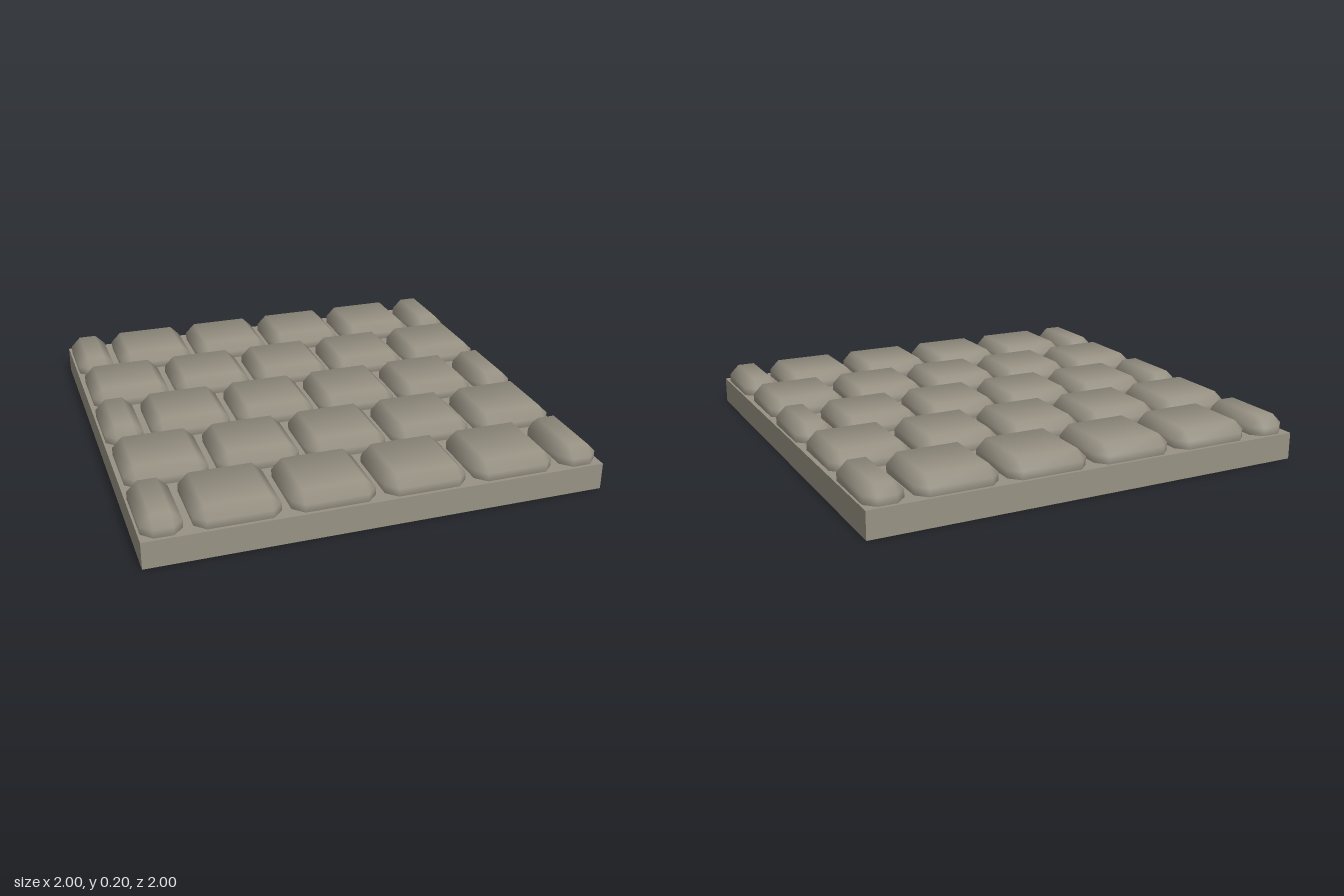
import * as THREE from 'three';

const BEVEL = 0.045;
const TILT = 0.43; // how far the soft shading leans over each edge

// Box with every edge and corner cut once, shaded softly.
// Each of the 8 corners has 3 vertices, one on each adjoining face.
function beveledBlock(w, h, d) {
  const half = [w / 2, h / 2, d / 2];
  const positions = [], normals = [], index = [];
  for (let corner = 0; corner < 8; corner++) {
    const sign = [0, 1, 2].map((i) => (corner & (1 << i) ? 1 : -1));
    for (let axis = 0; axis < 3; axis++) {
      positions.push(...sign.map((s, i) => s * (half[i] - (i === axis ? 0 : BEVEL))));
      normals.push(...new THREE.Vector3(
        ...sign.map((s, i) => s * (i === axis ? 1 : TILT))).normalize().toArray());
    }
  }
  const point = (i) => new THREE.Vector3().fromArray(positions, i * 3);
  // Adds a triangle, turned so that it faces away from the centre
  const tri = (a, b, c) => {
    const A = point(a), B = point(b), C = point(c);
    const n = B.clone().sub(A).cross(C.clone().sub(A));
    if (n.dot(A.add(B).add(C)) > 0) index.push(a, b, c);
    else index.push(a, c, b);
  };
  const quad = (a, b, c, e) => { tri(a, b, c); tri(a, c, e); };

  for (let axis = 0; axis < 3; axis++) {
    const u = (axis + 1) % 3, v = (axis + 2) % 3;
    const U = 1 << u, V = 1 << v, A = 1 << axis;
    // Flat faces
    for (const s of [0, A]) {
      quad(...[s, s | U, s | U | V, s | V].map((c) => c * 3 + axis));
    }
    // Edge bevels running along this axis
    for (const s of [0, U, V, U | V]) {
      quad(s * 3 + u, (s | A) * 3 + u, (s | A) * 3 + v, s * 3 + v);
    }
  }
  // Corner triangles
  for (let c = 0; c < 8; c++) tri(c * 3, c * 3 + 1, c * 3 + 2);

  const geometry = new THREE.BufferGeometry();
  geometry.setAttribute('position', new THREE.Float32BufferAttribute(positions, 3));
  geometry.setAttribute('normal', new THREE.Float32BufferAttribute(normals, 3));
  geometry.setIndex(index);
  return geometry;
}

export function createModel() {
  const model = new THREE.Group();
  model.name = 'cobbledFloorTile';
  const stone = new THREE.MeshStandardMaterial({ color: 0x989284 });
  stone.name = 'warm grey stone';

  // Slab under the stones
  const slab = new THREE.Mesh(new THREE.BoxGeometry(2, 0.12, 2), stone);
  slab.name = 'slab';
  slab.position.y = 0.06;
  model.add(slab);

  // Stones, sunk partly into the slab
  const fullStone = beveledBlock(0.36, 0.14, 0.37);
  const halfStone = beveledBlock(0.17, 0.14, 0.37);
  const addStone = (row, geometry, name, x) => {
    const mesh = new THREE.Mesh(geometry, stone);
    mesh.name = name;
    mesh.position.x = x;
    row.add(mesh);
  };

  // Five rows in running bond: alternate rows are shifted and closed by half stones
  for (let r = 0; r < 5; r++) {
    const row = new THREE.Group();
    row.name = `stoneRow${r + 1}`;
    row.position.set(0, 0.13, -0.8 + r * 0.4);
    const shifted = r % 2 === 0;
    const count = shifted ? 4 : 5;
    for (let i = 0; i < count; i++) {
      addStone(row, fullStone, 'fullStone', (i - (count - 1) / 2) * 0.4);
    }
    if (shifted) {
      for (const side of [-1, 1]) addStone(row, halfStone, 'halfStone', side * 0.905);
    }
    model.add(row);
  }
  return model;
}
